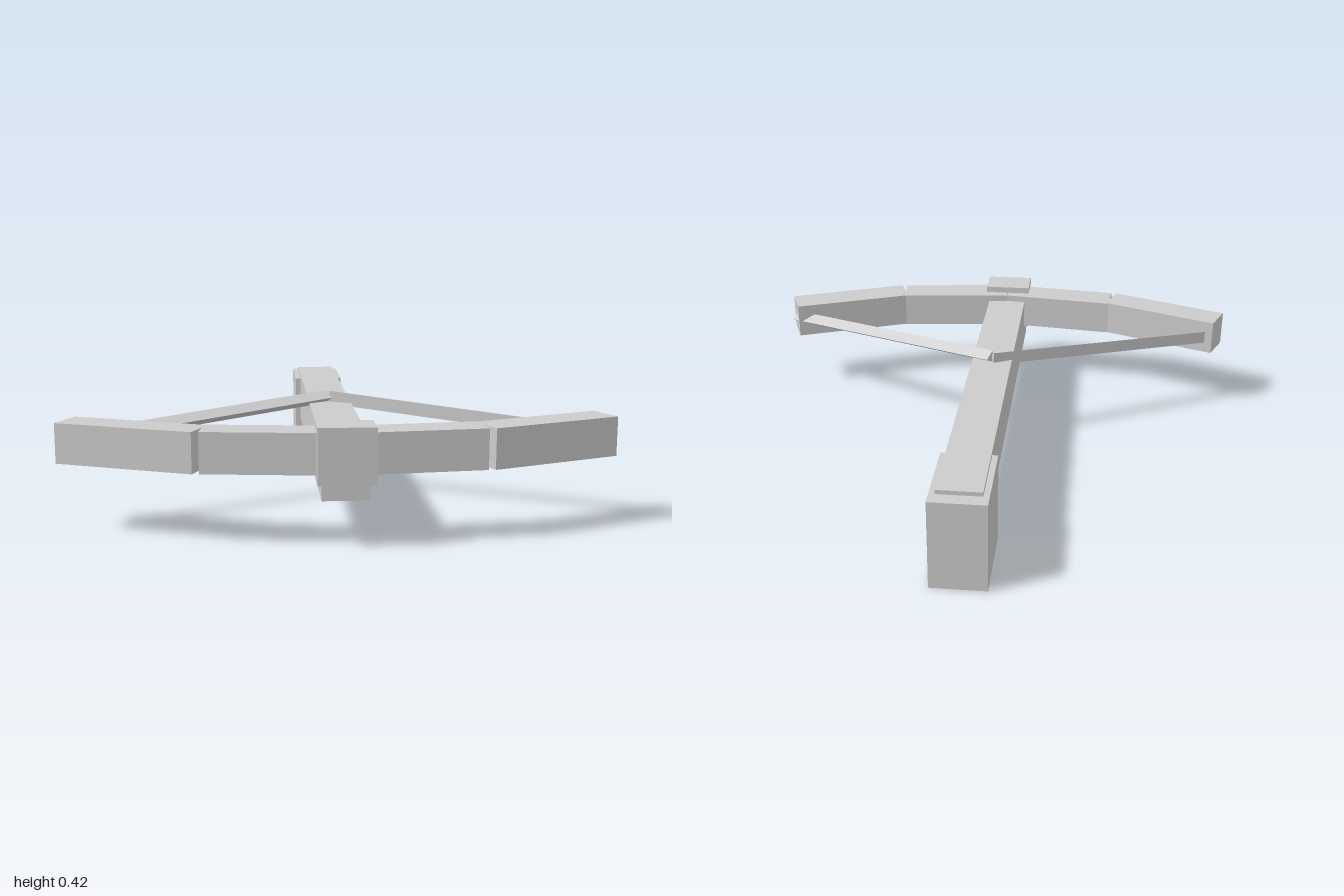
import * as THREE from 'three';

export function createModel() {
  const group = new THREE.Group();
  const grey = new THREE.MeshStandardMaterial({ color: 0xcccccc, flatShading: true });
  grey.name = 'plain grey';

  function add(name, geometry) {
    const mesh = new THREE.Mesh(geometry, grey);
    mesh.name = name;
    group.add(mesh);
    return mesh;
  }

  // Box given by its lowest and highest corners
  function block(name, [x0, y0, z0], [x1, y1, z1]) {
    add(name, new THREE.BoxGeometry(x1 - x0, y1 - y0, z1 - z0))
      .position.set((x0 + x1) / 2, (y0 + y1) / 2, (z0 + z1) / 2);
  }

  block('stock', [-0.083, 0.16, -0.94], [0.083, 0.363, 0.952]);
  block('butt', [-0.105, 0, -0.995], [0.105, 0.347, -0.652]);
  block('bowMount', [-0.099, 0.22, 0.852], [0.099, 0.416, 0.992]);

  // Bow plank, given by its rear edge in plan
  const depth = 0.138, low = 0.246, high = 0.39;
  function plank(name, side, [x0, z0], [x1, z1]) {
    const dx = x1 - x0, dz = z1 - z0, length = Math.hypot(dx, dz);
    const mesh = add(name, new THREE.BoxGeometry(length, high - low, depth));
    mesh.position.set(
      side * ((x0 + x1) / 2 - (dz / length) * depth / 2),
      (low + high) / 2,
      (z0 + z1) / 2 + (dx / length) * depth / 2
    );
    mesh.rotation.y = side * Math.atan2(-dz, dx);
  }

  // Three-sided string with one edge pointing sideways
  function string(name, from, to) {
    const along = to.clone().sub(from);
    const edge = new THREE.Vector3(along.z, 0, -along.x).normalize();
    const mesh = add(name, new THREE.CylinderGeometry(0.03, 0.03, along.length(), 3));
    along.normalize();
    const across = new THREE.Vector3().crossVectors(along, edge);
    mesh.quaternion.setFromRotationMatrix(new THREE.Matrix4().makeBasis(across, along, edge));
    mesh.position.copy(from).add(to).multiplyScalar(0.5);
  }

  for (const [label, side] of [['left', 1], ['right', -1]]) {
    plank(label + 'InnerLimb', side, [0, 0.815], [0.475, 0.76]);
    plank(label + 'OuterLimb', side, [0.462, 0.77], [0.944, 0.57]);
    string(label + 'String',
      new THREE.Vector3(side * 0.003, 0.381, 0.118),
      new THREE.Vector3(side * 0.97, 0.312, 0.63));
  }

  return group;
}
